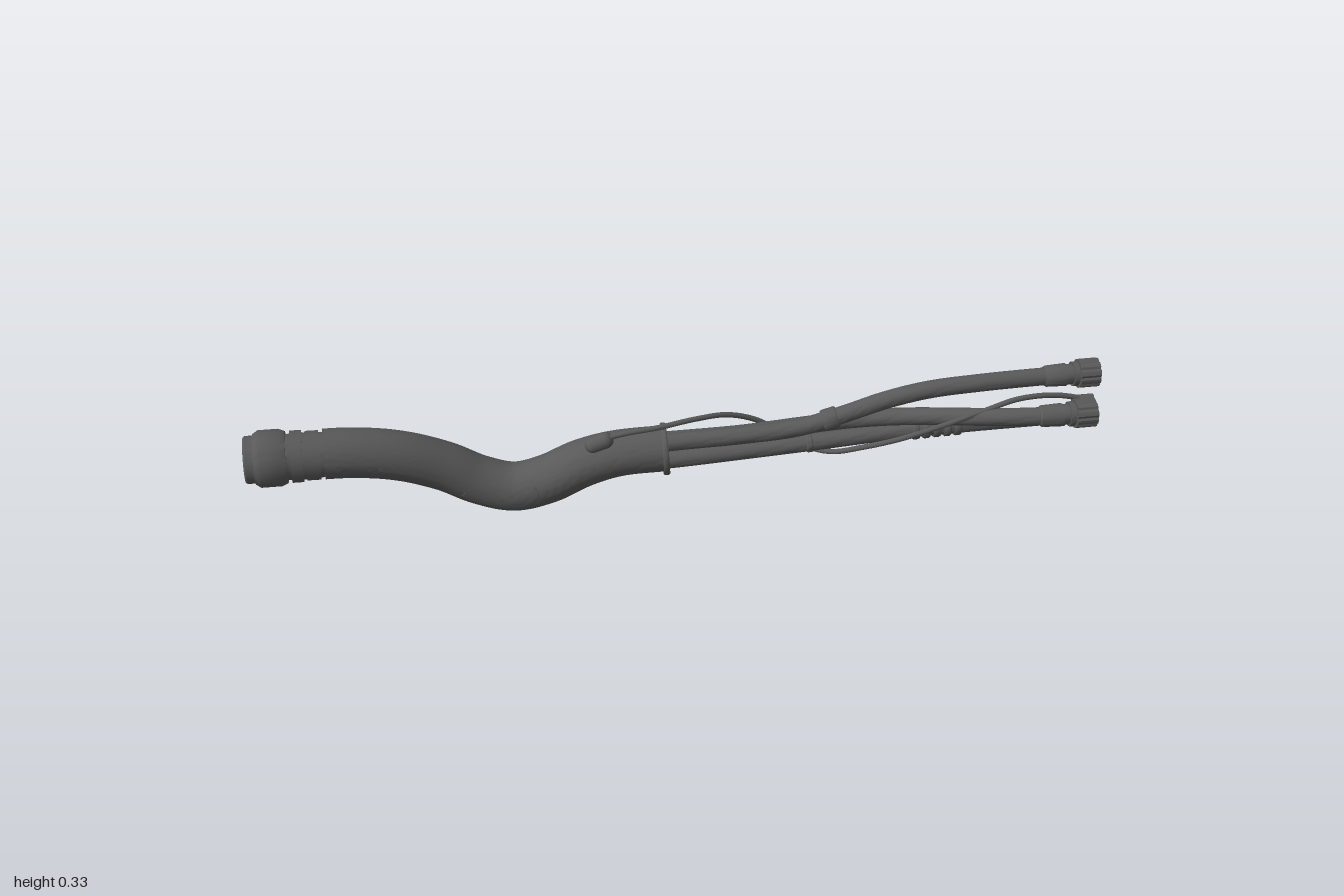
import * as THREE from 'three';
import { toCreasedNormals } from 'three/addons/utils/BufferGeometryUtils.js';

const dark = new THREE.MeshStandardMaterial({ color: 0x595959 });
const darkThin = new THREE.MeshStandardMaterial({ color: 0x595959, side: THREE.DoubleSide });
const path = (pts) => new THREE.CatmullRomCurve3(pts.map((p) => new THREE.Vector3(...p)));

// Curve parameter at a given x, for curves whose x always rises
function paramAtX(curve, x) {
  let lo = 0, hi = 1;
  for (let i = 0; i < 30; i++) {
    const mid = (lo + hi) / 2;
    if (curve.getPoint(mid).x < x) lo = mid; else hi = mid;
  }
  return (lo + hi) / 2;
}

// Lathe that follows a curve: profile rows are [x, radius]; angle 0 is up, PI/2 is front
function sweep(curve, profile, sides = 20, a0 = 0, a1 = Math.PI * 2) {
  const pos = [], index = [], up = new THREE.Vector3(0, 1, 0);
  profile.forEach(([x, r], i) => {
    const t = paramAtX(curve, x), c = curve.getPoint(t), tan = curve.getTangent(t);
    const b = tan.clone().cross(up).normalize(), n = b.clone().cross(tan);
    for (let j = 0; j <= sides; j++) {
      const a = a0 + ((a1 - a0) * j) / sides;
      const p = c.clone().addScaledVector(n, r * Math.cos(a)).addScaledVector(b, r * Math.sin(a));
      pos.push(p.x, p.y, p.z);
      if (i && j) {
        const d = i * (sides + 1) + j, q = d - sides - 1;
        index.push(q - 1, q, d - 1, d - 1, q, d);
      }
    }
  });
  const g = new THREE.BufferGeometry();
  g.setAttribute('position', new THREE.Float32BufferAttribute(pos, 3));
  g.setIndex(index);
  return toCreasedNormals(g, 0.6);
}

// Evenly spaced profile rows between two x positions
function rows(x0, x1, n, radius) {
  return Array.from({ length: n + 1 }, (_, i) => {
    const x = x0 + ((x1 - x0) * i) / n;
    return [x, radius(x)];
  });
}

function add(parent, name, geometry, material = dark) {
  const m = new THREE.Mesh(geometry, material);
  m.name = name;
  parent.add(m);
  return m;
}

const sleeve = (x0, x1, r) => [[x0, 0], [x0, r - 0.002], [x0 + 0.003, r], [x1 - 0.003, r], [x1, r - 0.002], [x1, 0]];

// Ribbed coupling nut with a hexagonal recess
function nutGeometry(length) {
  const s = new THREE.Shape();
  for (let i = 0; i < 40; i++) {
    const r = i % 4 < 3 ? 0.034 : 0.031, a = (i / 40) * Math.PI * 2;
    s[i ? 'lineTo' : 'moveTo'](r * Math.cos(a), r * Math.sin(a));
  }
  s.closePath();
  const hole = new THREE.Path();
  for (let i = 0; i < 6; i++) {
    const a = (-i / 6) * Math.PI * 2;
    hole[i ? 'lineTo' : 'moveTo'](0.025 * Math.cos(a), 0.025 * Math.sin(a));
  }
  hole.closePath();
  s.holes.push(hole);
  return new THREE.ExtrudeGeometry(s, { depth: length, bevelEnabled: false }).rotateY(Math.PI / 2);
}

export function createModel() {
  const model = new THREE.Group();
  model.name = 'cableHarness';

  // Thick wrapped sheath
  const trunk = path([[-1.01, 0.208, -0.05], [-0.86, 0.204, -0.053], [-0.75, 0.195, -0.06], [-0.65, 0.171, -0.068],
    [-0.55, 0.125, -0.077], [-0.47, 0.079, -0.075], [-0.39, 0.058, -0.066], [-0.31, 0.079, -0.056],
    [-0.23, 0.12, -0.048], [-0.15, 0.143, -0.043], [-0.02, 0.152, -0.035]]);
  const sheathR = (x) => 0.057 - 0.004 * THREE.MathUtils.smoothstep(x, -0.3, -0.1);
  add(model, 'sheath', sweep(trunk, [[-0.82, 0.05], ...rows(-0.82, -0.03, 79, sheathR), [-0.03, 0.049], [-0.04, 0.049], [-0.04, 0]], 40));

  // Overlapping wrap edges, stepped along the length
  [[-0.82, -0.7, -1.7, 1.5], [-0.7, -0.5, -1.7, 1.75], [-0.5, -0.33, -1.5, 2.0], [-0.33, -0.05, -1.5, 1.15]].forEach(([x0, x1, a0, a1]) => {
    const r = (x) => sheathR(x) + 0.0025;
    const edge = (x) => [x, sheathR(x) - 0.002];
    const n = Math.round((x1 - x0) * 100);
    add(model, 'sheathFlap', sweep(trunk, [edge(x0), ...rows(x0, x1, n, r), edge(x1)], 28, a0, a1), darkThin);
  });
  add(model, 'sheathEndBand', sweep(trunk, [[-0.042, 0.05], [-0.042, 0.06], [-0.039, 0.062], [-0.031, 0.062], [-0.028, 0.06], [-0.028, 0.049], [-0.042, 0.049]], 32));

  // Large connector, hollow at its outer end
  add(model, 'mainConnector', sweep(trunk, [[-0.965, 0], [-0.965, 0.04], [-0.998, 0.04], [-0.998, 0.052], [-0.994, 0.055],
    [-0.976, 0.055], [-0.976, 0.058], [-0.964, 0.066], [-0.918, 0.066], [-0.904, 0.06], [-0.904, 0.053], [-0.894, 0.053],
    [-0.894, 0.06], [-0.868, 0.06], [-0.868, 0.054], [-0.86, 0.054], [-0.86, 0.057], [-0.83, 0.057], [-0.83, 0.052], [-0.815, 0.052]], 36));
  for (let i = 0; i < 7; i++) {
    const a = (i / 6) * Math.PI * 2, r = i < 6 ? 0.024 : 0;
    const pin = add(model, 'connectorPin', new THREE.CylinderGeometry(0.004, 0.004, 0.024, 8));
    pin.rotation.z = Math.PI / 2;
    pin.position.set(-0.972, 0.207 + r * Math.cos(a), -0.05 + r * Math.sin(a));
  }

  // Three branch cables, each with a boot and a coupling nut
  const branches = [
    { name: 'upperCable', end: 0.985, pts: [[-0.08, 0.17, -0.03], [0.0, 0.173, -0.03], [0.15, 0.182, -0.02], [0.28, 0.196, -0.012],
      [0.38, 0.226, -0.005], [0.48, 0.262, 0.002], [0.58, 0.284, 0.006], [0.7, 0.294, 0.01], [0.85, 0.298, 0.011], [1.0, 0.299, 0.011]] },
    { name: 'frontCable', end: 0.952, pts: [[-0.08, 0.16, -0.058], [0.0, 0.16, -0.058], [0.15, 0.163, -0.055], [0.3, 0.178, -0.046],
      [0.42, 0.194, -0.03], [0.52, 0.21, -0.002], [0.62, 0.228, 0.04], [0.72, 0.241, 0.078], [0.82, 0.248, 0.1], [0.9, 0.25, 0.104], [1.0, 0.251, 0.104]] },
    { name: 'lowerCable', end: 0.998, pts: [[-0.08, 0.122, -0.03], [0.0, 0.124, -0.03], [0.15, 0.132, -0.028], [0.3, 0.145, -0.02],
      [0.45, 0.161, -0.01], [0.58, 0.172, -0.003], [0.7, 0.176, 0], [0.85, 0.177, 0.001], [1.01, 0.177, 0.001]] },
  ];
  const curves = branches.map(({ name, end, pts }) => {
    const g = new THREE.Group(), c = path(pts), n = end - 0.048;
    g.name = name;
    model.add(g);
    add(g, 'cable', sweep(c, rows(-0.06, n - 0.02, 60, () => 0.021), 18));
    add(g, 'boot', sweep(c, [[n - 0.082, 0], [n - 0.082, 0.022], [n - 0.078, 0.025], [n - 0.03, 0.027], [n - 0.03, 0.024],
      [n - 0.014, 0.024], [n - 0.014, 0.029], [n - 0.002, 0.029], [n - 0.002, 0.026], [n + 0.03, 0.026], [n + 0.03, 0]], 20));
    add(g, 'nut', nutGeometry(0.048)).position.copy(c.getPoint(paramAtX(c, n)));
    return c;
  });

  // Strain rings on the lower cable, and sleeves on the branches
  for (let i = 0; i < 5; i++) add(model, 'strainRing', sweep(curves[2], sleeve(0.55 + i * 0.025, 0.567 + i * 0.025, 0.026), 20));
  add(model, 'cableSleeve', sweep(curves[0], sleeve(0.335, 0.37, 0.026), 20));
  add(model, 'cableTie', sweep(curves[2], sleeve(0.3, 0.315, 0.0235), 20));

  // Thin cord winding around the branches
  const cord = path([[-0.19, 0.2, -0.022], [-0.13, 0.214, -0.02], [-0.05, 0.221, -0.023], [0.04, 0.225, -0.04], [0.12, 0.212, -0.066],
    [0.2, 0.175, -0.083], [0.26, 0.13, -0.076], [0.31, 0.116, -0.045], [0.36, 0.13, 0.004], [0.42, 0.163, 0.044],
    [0.5, 0.196, 0.071], [0.6, 0.228, 0.077], [0.7, 0.257, 0.072], [0.78, 0.276, 0.064], [0.87, 0.272, 0.054], [0.95, 0.252, 0.05]]);
  add(model, 'thinCord', new THREE.TubeGeometry(cord, 140, 0.0065, 10));
  const plug = add(model, 'cordPlug', new THREE.CylinderGeometry(0.011, 0.011, 0.035, 12));
  plug.rotation.z = Math.PI / 2;
  plug.position.set(0.95, 0.252, 0.05);

  // Cord outlet on top of the sheath
  const outlet = add(model, 'cordOutlet', new THREE.CapsuleGeometry(0.02, 0.03, 6, 16));
  outlet.rotation.z = -Math.PI / 2 + 0.35;
  outlet.position.set(-0.19, 0.192, -0.024);
  return model;
}
